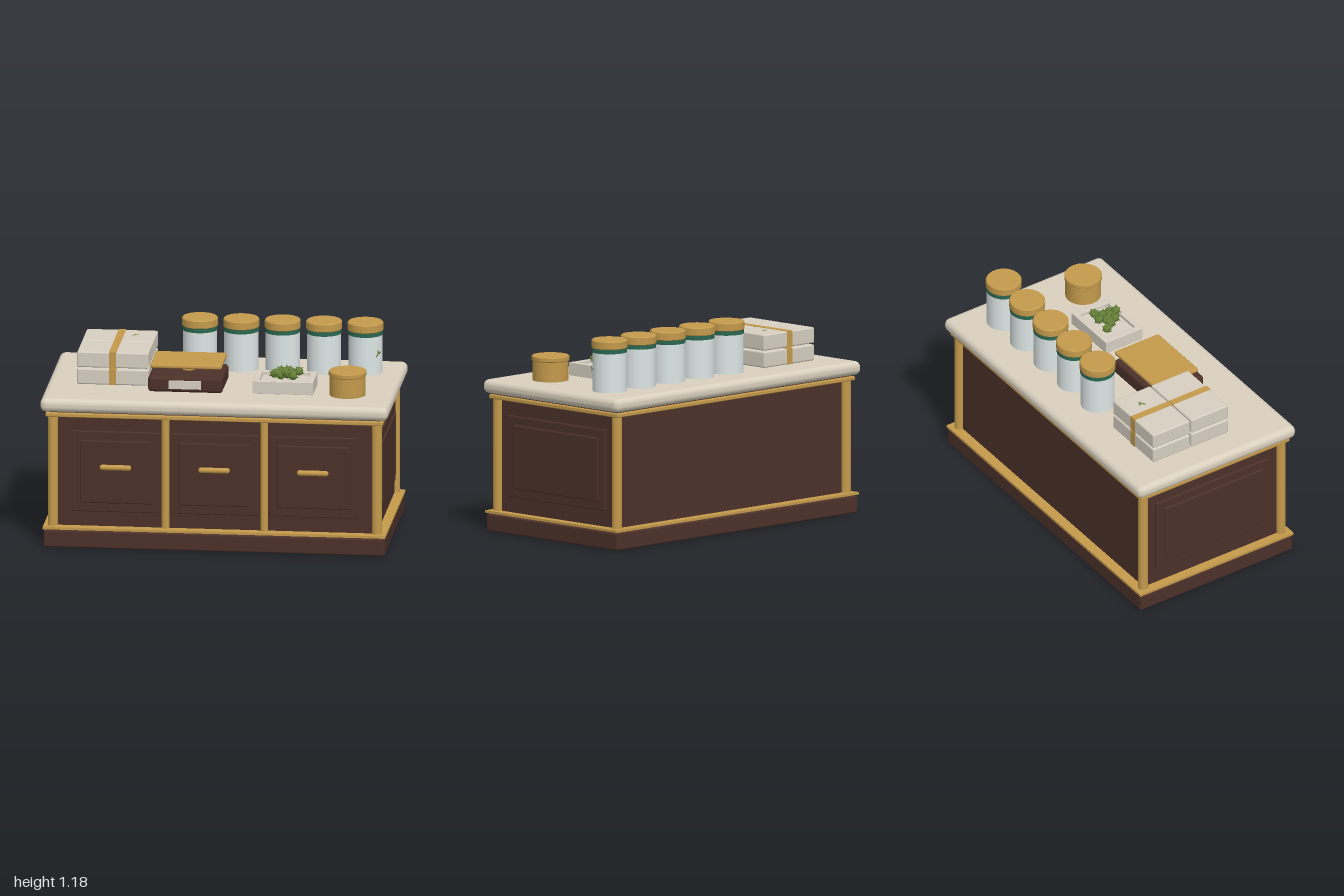
import * as THREE from 'three';
import { toCreasedNormals } from 'three/addons/utils/BufferGeometryUtils.js';
import { RoundedBoxGeometry } from 'three/addons/geometries/RoundedBoxGeometry.js';

const material = (name, color) => Object.assign(new THREE.MeshStandardMaterial({ color }), { name });

export function createModel() {
  const wood = material('dark wood', 0x4c3129);
  const brass = material('brass', 0xc49a4c);
  const stone = material('cream stone', 0xd9d0be);
  const paper = material('cream paper', 0xd6cfc1);
  const ceramic = material('pale ceramic', 0xdde6e5);
  const green = material('green band', 0x2b6850);
  const leaf = material('leaf green', 0x668239);
  leaf.side = THREE.DoubleSide;

  const root = new THREE.Group();
  root.name = 'shopCounter';
  const add = (name, geometry, mat, x = 0, y = 0, z = 0, parent = root) => {
    const mesh = new THREE.Mesh(geometry, mat);
    mesh.name = name;
    mesh.position.set(x, y, z);
    parent.add(mesh);
    return mesh;
  };
  const group = (name, x = 0, y = 0, z = 0) => {
    const g = new THREE.Group();
    g.name = name;
    g.position.set(x, y, z);
    root.add(g);
    return g;
  };
  const box = (w, h, d, r = 0) => r ? new RoundedBoxGeometry(w, h, d, 3, r) : new THREE.BoxGeometry(w, h, d);
  const cyl = (r, h, n = 32) => new THREE.CylinderGeometry(r, r, h, n);
  const lathe = (points) => toCreasedNormals(
    new THREE.LatheGeometry(points.map(([x, y]) => new THREE.Vector2(x, y)), 40), 0.6);

  // Cabinet, from the floor up
  add('plinth', box(1.96, 0.1, 1.05, 0.01), wood, 0, 0.05, 0);
  add('bottomTrim', box(1.97, 0.014, 1.06), brass, 0, 0.112, 0);
  add('body', box(1.86, 0.72, 0.94), wood, 0, 0.44, 0);
  add('topTrim', box(1.94, 0.024, 1.03, 0.006), brass, 0, 0.778, 0);
  add('topRail', box(1.9, 0.02, 0.99), wood, 0, 0.793, 0);
  add('countertop', box(2, 0.08, 1.09, 0.035), stone, 0, 0.838, 0);

  // Brass columns
  for (const x of [-0.932, 0.932])
    for (const z of [-0.476, 0.476]) add('cornerPost', cyl(0.029, 0.65, 24), brass, x, 0.445, z);
  for (const x of [-0.284, 0.284]) add('frontPost', cyl(0.022, 0.65, 24), brass, x, 0.445, 0.477);

  // Drawer fronts with capsule handles
  for (const x of [-0.567, 0, 0.567]) {
    const drawer = group('drawer', x, 0.443, 0.47);
    add('drawerFrame', box(0.51, 0.475, 0.028, 0.006), wood, 0, 0, 0, drawer);
    add('drawerPanel', box(0.415, 0.37, 0.046, 0.008), wood, 0, 0, 0, drawer);
    const handle = add('handle', new THREE.CapsuleGeometry(0.016, 0.15, 6, 16), brass, 0, 0.035, 0.05, drawer);
    handle.rotation.z = Math.PI / 2;
    for (const s of [-1, 1]) {
      const stem = add('handleStem', cyl(0.008, 0.04, 12), brass, s * 0.06, 0.035, 0.03, drawer);
      stem.rotation.x = Math.PI / 2;
    }
  }

  // End panels
  for (const s of [-1, 1]) {
    add('sideFrame', box(0.028, 0.47, 0.78, 0.006), wood, s * 0.93, 0.445, 0);
    add('sidePanel', box(0.046, 0.37, 0.68, 0.008), wood, s * 0.93, 0.445, 0);
  }

  // Small three-leaf emblem lying in its local xy plane
  const leafShape = new THREE.Shape();
  leafShape.moveTo(0, 0);
  leafShape.quadraticCurveTo(0.012, 0.012, 0, 0.026);
  leafShape.quadraticCurveTo(-0.012, 0.012, 0, 0);
  const leafGeometry = new THREE.ShapeGeometry(leafShape, 6);
  const sprig = (x, y, z) => {
    const g = group('leafEmblem', x, y, z);
    for (const a of [-1.1, 0.2, 2.2]) add('leaf', leafGeometry, leaf, 0, 0, 0, g).rotation.z = a;
    return g;
  };

  // Row of lidded jars
  const jarLid = lathe([[0, 0], [0.099, 0], [0.103, 0.005], [0.103, 0.044], [0.097, 0.051], [0, 0.052]]);
  for (let i = 0; i < 5; i++) {
    const jar = group('jar', -0.168 + i * 0.238, 0.876, -0.27);
    add('jarBody', cyl(0.098, 0.23, 40), ceramic, 0, 0.115, 0, jar);
    add('jarBand', cyl(0.1, 0.026, 40), green, 0, 0.24, 0, jar);
    add('jarLid', jarLid, brass, 0, 0.25, 0, jar);
  }
  sprig(0.783 + 0.082, 1.0, -0.27 + 0.061).rotation.y = 0.93;

  // Stacked parcels tied with bands
  for (const y of [0.924, 1.024])
    for (const z of [-0.204, 0.06]) {
      const parcel = group('parcel', -0.62, y, z);
      add('parcelBox', box(0.41, 0.092, 0.256, 0.009), paper, 0, 0, 0, parcel);
      add('parcelBand', box(0.042, 0.096, 0.26), brass, 0, 0, 0, parcel);
    }
  sprig(-0.533, 1.072, -0.212).rotation.x = -Math.PI / 2;

  // Weighing scale
  const scale = group('scale', -0.19, 0.875, 0.14);
  add('scaleBase', box(0.43, 0.094, 0.34, 0.022), wood, 0, 0.047, 0, scale);
  add('scaleDisplay', box(0.185, 0.048, 0.02), paper, 0, 0.049, 0.17, scale);
  add('scaleStem', cyl(0.037, 0.06, 24), brass, 0, 0.115, -0.017, scale);
  add('scalePlate', box(0.41, 0.024, 0.305, 0.009), brass, 0, 0.145, -0.017, scale);

  // Shallow tray with a raised rim
  const tray = group('herbTray', 0.369, 0.875, 0.163);
  const rect = (path, w, d) => path.moveTo(-w, -d).lineTo(w, -d).lineTo(w, d).lineTo(-w, d).closePath();
  const rim = rect(new THREE.Shape(), 0.17, 0.123);
  rim.holes.push(rect(new THREE.Path(), 0.142, 0.102));
  const rimGeometry = new THREE.ExtrudeGeometry(rim,
    { depth: 0.07, bevelThickness: 0.004, bevelSize: 0.004, bevelSegments: 2 });
  rimGeometry.rotateX(-Math.PI / 2);
  add('trayRim', rimGeometry, paper, 0, 0.004, 0, tray);
  add('trayFloor', box(0.3, 0.058, 0.22), paper, 0, 0.029, 0, tray);

  // Herb buds: knobbly clusters with pointed leaflets
  const buds = [[-0.065, -0.045], [-0.025, -0.02], [0.01, -0.05], [0.035, -0.01], [0.075, -0.04],
    [-0.02, 0.04], [0.015, 0.03], [0.05, 0.045], [0.01, 0.065], [-0.045, -0.005]];
  const core = new THREE.IcosahedronGeometry(0.025, 1);
  const tip = new THREE.ConeGeometry(0.011, 0.026, 5);
  const up = new THREE.Vector3(0, 1, 0);
  buds.forEach(([x, z], i) => {
    const bud = new THREE.Group();
    bud.name = 'herbBud';
    bud.position.set(x, 0.08 + 0.03 * ((i * 3) % 5) / 5 + (i % 3) * 0.007, z);
    bud.rotation.y = i * 1.3;
    tray.add(bud);
    add('budCore', core, leaf, 0, 0, 0, bud);
    for (let k = 0; k < 12; k++) {
      const h = 0.95 - k * 0.14, a = k * 2.4, r = Math.sqrt(1 - h * h);
      const dir = new THREE.Vector3(r * Math.cos(a), h, r * Math.sin(a));
      const leaflet = add('leaflet', tip, leaf, 0, 0, 0, bud);
      leaflet.position.copy(dir).multiplyScalar(0.023);
      leaflet.quaternion.setFromUnitVectors(up, dir);
    }
  });

  // Brass pot with an overhanging lid
  const pot = group('brassPot', 0.738, 0.876, 0.248);
  add('potBody', cyl(0.103, 0.12, 40), brass, 0, 0.06, 0, pot);
  add('potLid', lathe([[0, 0], [0.105, 0], [0.108, 0.004], [0.108, 0.024], [0.104, 0.029], [0, 0.03]]),
    brass, 0, 0.116, 0, pot);

  return root;
}
